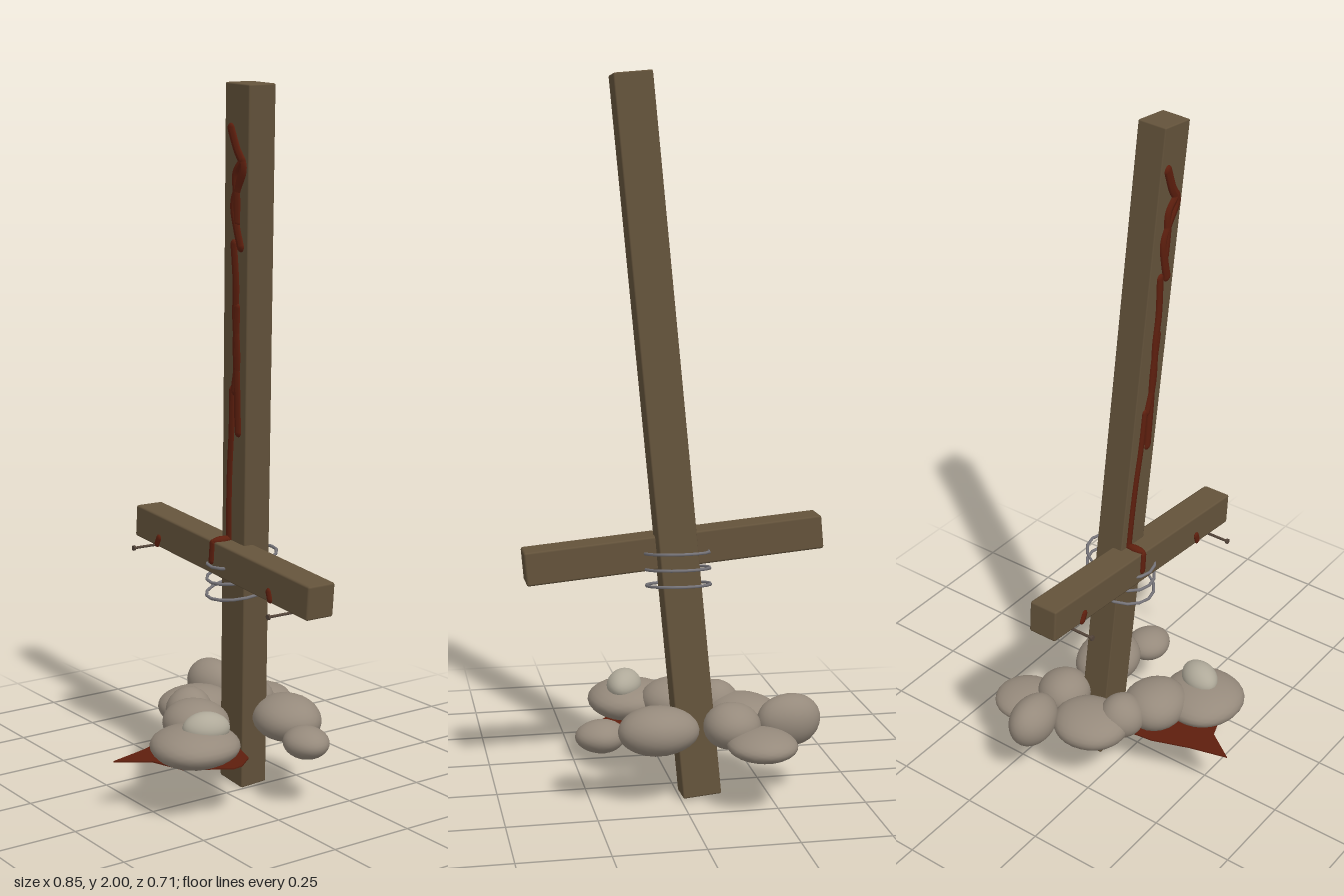
import * as THREE from 'three';
import { mergeVertices } from 'three/addons/utils/BufferGeometryUtils.js';
import { RoundedBoxGeometry } from 'three/addons/geometries/RoundedBoxGeometry.js';

const mat = (name, color, side = THREE.FrontSide) => {
  const m = new THREE.MeshStandardMaterial({ color, side });
  m.name = name;
  return m;
};

export function createModel() {
  const model = new THREE.Group();
  model.name = 'graveMarker';
  const wood = mat('wood', 0x64533b);
  const stone = mat('stone', 0x968a7c);
  const paleStone = mat('paleStone', 0xb0aa9a);
  const blood = mat('driedBlood', 0x5e1f0e, THREE.DoubleSide);
  const wire = mat('wire', 0x77757a);
  const rust = mat('nailIron', 0x54453a);

  const add = (name, geo, material, x = 0, y = 0, z = 0) => {
    const mesh = new THREE.Mesh(geo, material);
    mesh.name = name;
    mesh.position.set(x, y, z);
    model.add(mesh);
    return mesh;
  };

  // Leaning post
  const foot = new THREE.Vector3(-0.06, 0.007, -0.1);
  const head = new THREE.Vector3(0.112, 1.993, 0.001);
  const axis = head.clone().sub(foot);
  const mid = foot.clone().add(head).multiplyScalar(0.5);
  const post = add('post', new RoundedBoxGeometry(0.108, axis.length(), 0.086, 1, 0.004), wood, mid.x, mid.y, mid.z);
  post.rotation.set(Math.atan2(axis.z, axis.y), 0, -Math.atan2(axis.x, axis.y));

  // Crooked crossbar
  const bar = add('crossbar', new RoundedBoxGeometry(0.842, 0.095, 0.088, 1, 0.006), wood, -0.002, 0.692, -0.01);
  bar.rotation.z = -0.088;

  // Nails sticking out of the crossbar
  for (const [x, y] of [[-0.337, 0.668], [0.326, 0.61]]) {
    add('nailShank', new THREE.CylinderGeometry(0.004, 0.004, 0.09, 8).rotateX(Math.PI / 2), rust, x, y, 0.048);
    add('nailHead', new THREE.CylinderGeometry(0.008, 0.008, 0.006, 8).rotateX(Math.PI / 2), rust, x, y, 0.094);
  }

  // Wire loops tied round the joint
  [0.597, 0.643, 0.688].forEach((y, i) => {
    const loop = add('wireLoop', new THREE.TorusGeometry(0.1, 0.0045, 6, 16), wire, -0.008 + i * 0.002, y, -0.056);
    loop.scale.set(0.9, 1.04, 1);
    loop.rotation.set(Math.PI / 2 + 0.16, 0, 0);
  });

  // Flattened drips that follow the face of the wood
  const postFace = (y) => foot.z + (axis.z / axis.y) * (y - foot.y) + 0.043;
  const barFace = () => 0.035;
  const drip = (name, points, radius, face) => {
    const curve = new THREE.CatmullRomCurve3(points.map(([x, y]) => new THREE.Vector3(x, y, 0)));
    const parts = [new THREE.TubeGeometry(curve, points.length * 6, radius, 8)];
    for (const [x, y] of [points[0], points[points.length - 1]]) {
      parts.push(new THREE.SphereGeometry(radius, 8, 6).translate(x, y, 0));
    }
    for (const geo of parts) {
      const p = geo.attributes.position;
      for (let i = 0; i < p.count; i++) p.setZ(i, p.getZ(i) * 0.5 + face(p.getY(i)));
      geo.computeVertexNormals();
      add(name, geo, blood);
    }
  };
  drip('upperDrip', [[0.077, 1.875], [0.1, 1.82], [0.125, 1.775], [0.095, 1.72], [0.075, 1.675], [0.085, 1.61], [0.098, 1.565]], 0.015, postFace);
  drip('upperDripFork', [[0.122, 1.79], [0.09, 1.755], [0.09, 1.7], [0.085, 1.63]], 0.015, postFace);
  drip('middleDrip', [[0.068, 1.57], [0.07, 1.46], [0.062, 1.38], [0.06, 1.25], [0.04, 1.17]], 0.014, postFace);
  drip('shortDrip', [[0.07, 1.4], [0.058, 1.29], [0.055, 1.18], [0.05, 1.055]], 0.014, postFace);
  drip('lowerDrip', [[0.03, 1.17], [0.02, 1.06], [0.004, 0.95], [-0.008, 0.84], [-0.016, 0.74]], 0.012, postFace);
  drip('barDrip', [[-0.019, 0.735], [-0.024, 0.685]], 0.011, barFace);
  drip('nailDripRight', [[-0.294, 0.698], [-0.304, 0.68]], 0.011, barFace);
  drip('nailDripLeft', [[0.246, 0.652], [0.252, 0.633]], 0.011, barFace);
  // Drip running over the top of the crossbar
  add('ledgeDrip', new THREE.SphereGeometry(1, 10, 6).scale(0.014, 0.012, 0.036), blood, -0.016, 0.741, 0.004);

  // Pool on the ground
  const outline = [[-0.04, 0.352], [0.02, 0.265], [0.12, 0.23], [0.195, 0.11], [0.19, 0.08], [0.15, 0.03],
    [0.05, 0.0], [-0.06, -0.03], [-0.12, 0.05], [-0.11, 0.13], [-0.07, 0.24]];
  const pool = new THREE.ExtrudeGeometry(new THREE.Shape(outline.map(([x, z]) => new THREE.Vector2(x, -z))),
    { depth: 0.004, bevelEnabled: false });
  add('bloodPool', pool.rotateX(-Math.PI / 2), blood, 0, 0.154, 0);

  // Lumpy stones heaped round the post
  const lump = (seed) => {
    let geo = new THREE.IcosahedronGeometry(1, 4);
    geo.deleteAttribute('uv');
    geo.deleteAttribute('normal');
    geo = mergeVertices(geo, 1e-4);
    const p = geo.attributes.position;
    const v = new THREE.Vector3();
    for (let i = 0; i < p.count; i++) {
      v.fromBufferAttribute(p, i);
      const bump = Math.sin(v.x * 3.1 + seed * 1.7) + Math.sin(v.y * 2.7 + seed * 2.9) + Math.sin(v.z * 3.3 + seed * 4.3);
      v.multiplyScalar(1 + 0.022 * bump);
      p.setXYZ(i, v.x, v.y, v.z);
    }
    geo.computeVertexNormals();
    return geo;
  };
  // x, y, z, half width, half height, half depth, turn
  const stones = [
    [-0.203, 0.188, -0.253, 0.1, 0.04, 0.102, 0],
    [-0.3, 0.222, -0.157, 0.09, 0.072, 0.066, 0.1],
    [-0.138, 0.218, -0.172, 0.077, 0.066, 0.08, 0],
    [-0.2, 0.205, -0.025, 0.108, 0.056, 0.112, 0.2],
    [-0.13, 0.222, 0.04, 0.072, 0.066, 0.066, 0],
    [-0.025, 0.22, 0.085, 0.1, 0.065, 0.098, 0],
    [0.092, 0.205, 0.172, 0.122, 0.058, 0.12, 0],
    [0.068, 0.215, -0.16, 0.117, 0.064, 0.094, 0],
    [0.222, 0.192, -0.117, 0.069, 0.045, 0.064, 0],
  ];
  stones.forEach(([x, y, z, w, h, d, turn], i) => {
    const s = add('stone', lump(i + 1), stone, x, y, z);
    s.scale.set(w, h, d);
    s.rotation.y = turn;
  });
  const pebble = add('palePebble', lump(12), paleStone, 0.114, 0.258, 0.148);
  pebble.scale.set(0.05, 0.042, 0.067);
  pebble.rotation.y = -0.4;

  return model;
}
